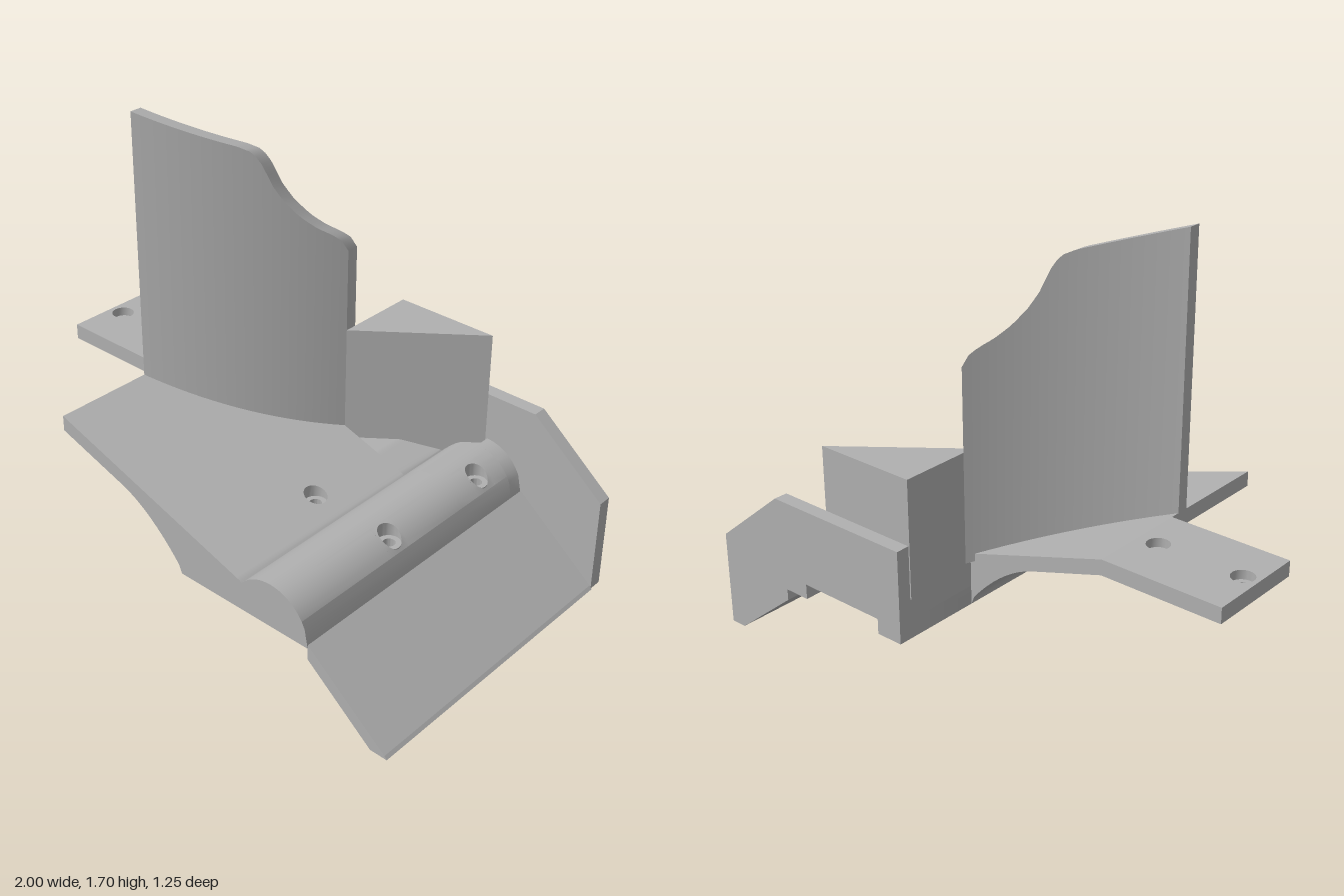
import * as THREE from 'three';
import { mergeGeometries, toCreasedNormals } from 'three/addons/utils/BufferGeometryUtils.js';

const HOLE_PATCH = 0.05; // half size of the square patch around a screw hole
const KINKS = [-0.22, 0.07, 0.36, 0.49];

// Upper and lower surface heights of the base along x
const slope = x => 0.66 - 0.318 * (x + 0.52);
function topY(x) {
  if (x < 0.36) return slope(x);
  return 0.275 + Math.sqrt(Math.max(0, 0.165 ** 2 - (x - 0.49) ** 2));
}
function bottomY(x) {
  if (x < -0.22) return 0.6 - 0.317 * (x + 0.52);
  if (x >= 0.07) return 0.265;
  const t = (x + 0.22) / 0.29;
  return 0.505 - 0.093 * t - 0.13 * t * t;
}

function fromTriangles(positions) {
  const g = new THREE.BufferGeometry();
  g.setAttribute('position', new THREE.Float32BufferAttribute(positions, 3));
  return g;
}

function pushQuad(out, a, b, c, d) {
  out.push(...a, ...b, ...c, ...a, ...c, ...d);
}

function samples(x0, x1, step = 0.015) {
  const n = Math.ceil((x1 - x0) / step);
  const xs = Array.from({ length: n + 1 }, (_, i) => x0 + (x1 - x0) * i / n);
  for (const k of KINKS) {
    if (k > x0 && k < x1 && !xs.some(x => Math.abs(x - k) < 1e-4)) xs.push(k);
  }
  return xs.sort((a, b) => a - b);
}

// Solid swept along x with a four-cornered section
function slab(x0, x1, back, front, top, bottom) {
  const rings = samples(x0, x1).map(x => [
    [x, bottom(x), front(x)], [x, top(x), front(x)],
    [x, top(x), back(x)], [x, bottom(x), back(x)]
  ]);
  const out = [];
  for (let k = 0; k + 1 < rings.length; k++) {
    const a = rings[k], b = rings[k + 1];
    for (let i = 0; i < 4; i++) {
      const j = (i + 1) % 4;
      pushQuad(out, a[i], b[i], b[j], a[j]);
    }
  }
  const first = rings[0], last = rings[rings.length - 1];
  pushQuad(out, first[0], first[1], first[2], first[3]);
  pushQuad(out, last[3], last[2], last[1], last[0]);
  return fromTriangles(out);
}

// Square patch with a counterbored through hole
function holePatch(cx, cz, top, bottom) {
  const N = 32, out = [];
  const floor = top(cx) - 0.035;
  const ring = (radius, height) => Array.from({ length: N }, (_, i) => {
    const t = i / N * Math.PI * 2, c = Math.cos(t), s = Math.sin(t);
    const r = radius || HOLE_PATCH / Math.max(Math.abs(c), Math.abs(s));
    const x = cx + c * r;
    return [x, height(x), cz + s * r];
  });
  const rings = [
    ring(0, top), ring(0.043, top), ring(0.043, () => floor),
    ring(0.023, () => floor), ring(0.023, bottom), ring(0, bottom)
  ];
  for (let k = 0; k < 5; k++) {
    for (let i = 0; i < N; i++) {
      const j = (i + 1) % N;
      pushQuad(out, rings[k][j], rings[k][i], rings[k + 1][i], rings[k + 1][j]);
    }
  }
  return fromTriangles(out);
}

// Plate over a rectangle; each hole column is { x, zs } with ascending x and z
function plate(x0, x1, z0, z1, top, bottom, columns = []) {
  const parts = [];
  const block = (xa, xb, za, zb) => parts.push(slab(xa, xb, () => za, () => zb, top, bottom));
  let x = x0;
  for (const col of columns) {
    const xa = col.x - HOLE_PATCH, xb = col.x + HOLE_PATCH;
    block(x, xa, z0, z1);
    let z = z0;
    for (const cz of col.zs) {
      block(xa, xb, z, cz - HOLE_PATCH);
      parts.push(holePatch(col.x, cz, top, bottom));
      z = cz + HOLE_PATCH;
    }
    block(xa, xb, z, z1);
    x = xb;
  }
  block(x, x1, z0, z1);
  return parts;
}

function prism(points, z0, z1) {
  const shape = new THREE.Shape(points.map(p => new THREE.Vector2(...p)));
  const g = new THREE.ExtrudeGeometry(shape, { depth: z1 - z0, bevelEnabled: false });
  return g.translate(0, 0, z0);
}

export function createModel() {
  const group = new THREE.Group();
  const grey = new THREE.MeshStandardMaterial({ color: 0xb0b0b0 });
  grey.name = 'plainGrey';
  const add = (name, geometry) => {
    const mesh = new THREE.Mesh(geometry, grey);
    mesh.name = name;
    group.add(mesh);
  };
  const smooth = parts => toCreasedNormals(mergeGeometries(parts), 0.5);

  // Mounting tab with two screw holes
  add('mountingTab', smooth(plate(-1, -0.52, -0.26, 0.14, () => 0.66, () => 0.6,
    [{ x: -0.94, zs: [-0.05] }, { x: -0.6, zs: [-0.05] }])));

  // Sloping base with a rounded ridge, a seat for the block and a pocket below
  const seatY = x => Math.min(topY(x), 0.42);
  const pocketY = () => 0.325;
  add('base', smooth([
    ...plate(-0.52, 0.655, -0.24, 0.62, topY, bottomY,
      [{ x: 0.24, zs: [0.115] }, { x: 0.58, zs: [0.115] }]),
    ...plate(-0.52, 0.07, -0.26, -0.24, topY, bottomY),
    ...plate(0.07, 0.49, -0.51, -0.24, seatY, bottomY),
    ...plate(0.49, 0.655, -0.51, -0.24, topY, bottomY, [{ x: 0.58, zs: [-0.385] }]),
    ...plate(0.07, 0.18, -0.57, -0.51, seatY, bottomY),
    ...plate(0.18, 0.49, -0.57, -0.51, seatY, pocketY),
    ...plate(0.49, 0.55, -0.57, -0.51, topY, pocketY),
    ...plate(0.55, 0.655, -0.57, -0.51, topY, bottomY)
  ]));

  // Angled flap beside the ridge
  add('flap', prism([[0.657, 0.28], [0.657, 0.22], [0.93, 0], [1, 0], [0.99, 0.012]], -0.57, 0.62));

  // Back wall with the pocket opening in its lower edge
  add('backWall', prism([
    [0.07, 0.265], [0.18, 0.265], [0.18, 0.325], [0.55, 0.325], [0.55, 0.265], [0.657, 0.265],
    [0.657, 0.22], [0.93, 0], [0.995, 0], [0.995, 0.38], [0.69, 0.63], [0.07, 0.63]
  ], -0.625, -0.57));

  // Triangular corner block
  add('cornerBlock', smooth([slab(0.07, 0.485, () => -0.565,
    x => -0.24 - 0.325 * (x - 0.07) / 0.415, () => 0.88, () => 0.34)]));

  // Curved upright blade with a scooped upper edge
  const edge = [
    [-0.52, 1.7], [-0.2, 1.603], [-0.165, 1.585], [-0.145, 1.56], [-0.13, 1.525],
    [-0.11, 1.462], [-0.08, 1.4], [-0.04, 1.34], [0, 1.295], [0.03, 1.27],
    [0.052, 1.247], [0.064, 1.225], [0.07, 1.2]
  ];
  const bladeTop = x => {
    const i = Math.max(1, edge.findIndex(p => p[0] >= x - 1e-6));
    const [xa, ya] = edge[i - 1], [xb, yb] = edge[i];
    return ya + (yb - ya) * (x - xa) / (xb - xa);
  };
  const bladeZ = x => { // quadratic curve seen from above
    const a = -0.52 + 0.326 + 0.07, b = 0.714, c = -0.52 - x;
    const t = (-b + Math.sqrt(b * b - 4 * a * c)) / (2 * a);
    return 0.225 * (1 - t) ** 2 + 0.14 * t * (1 - t) - 0.24 * t * t;
  };
  add('blade', smooth([slab(-0.52, 0.07, x => bladeZ(x) - 0.047, bladeZ,
    bladeTop, x => slope(x) - 0.03)]));

  return group;
}
